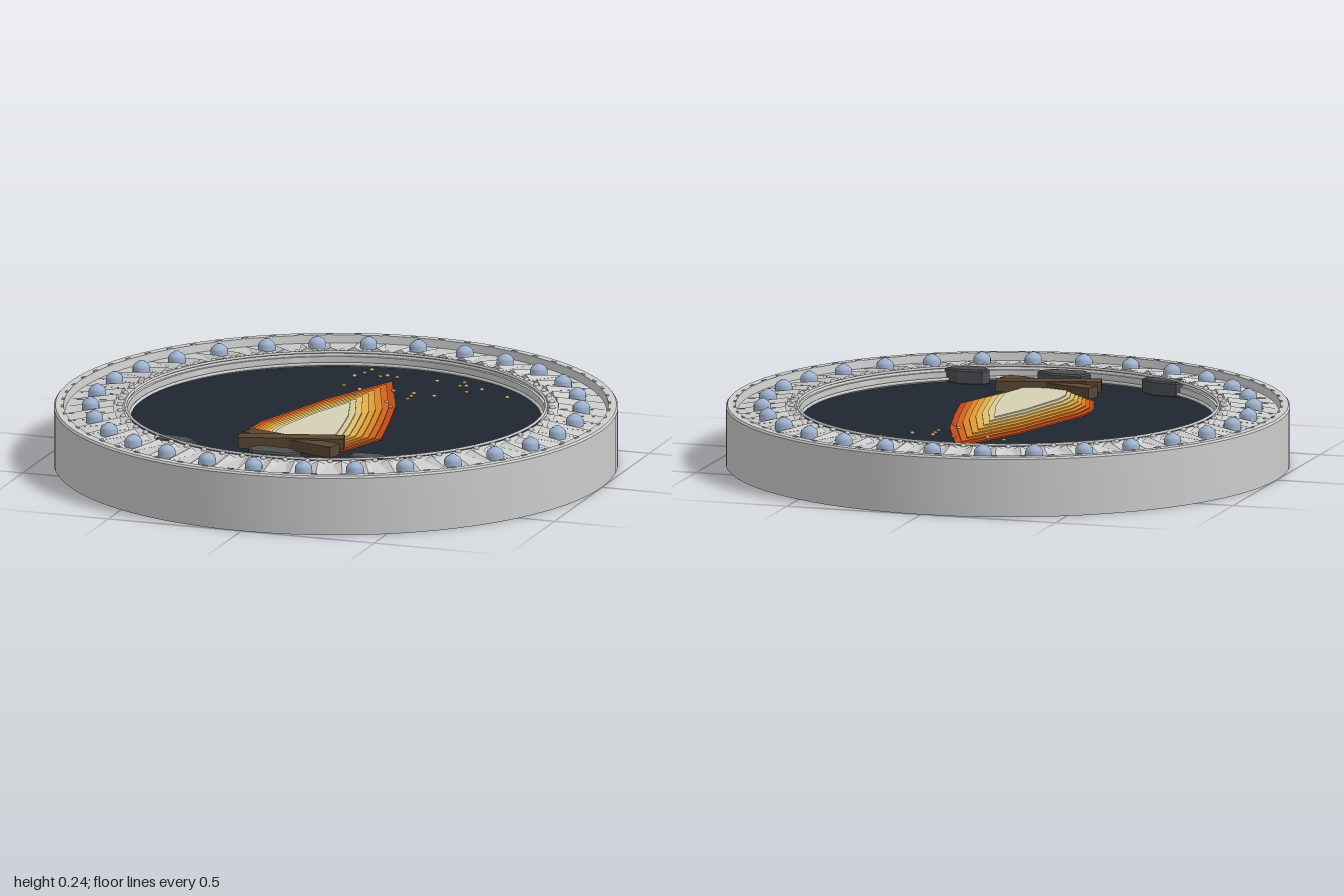
import * as THREE from 'three';
import { toCreasedNormals } from 'three/addons/utils/BufferGeometryUtils.js';

const mat = (color, extra = {}) => new THREE.MeshStandardMaterial({ color, ...extra });

function add(parent, name, geometry, material) {
  const mesh = new THREE.Mesh(geometry, material);
  mesh.name = name;
  parent.add(mesh);
  return mesh;
}

// Flat plate from a plan outline of [x, z] points, standing on height y
function plate(points, y, height, bevel = 0) {
  const shape = new THREE.Shape(points.map(([x, z]) => new THREE.Vector2(x, -z)));
  const geo = new THREE.ExtrudeGeometry(shape, {
    depth: height - bevel, bevelEnabled: bevel > 0, bevelThickness: bevel,
    bevelSize: bevel, bevelOffset: -bevel, bevelSegments: 1,
  });
  geo.rotateX(-Math.PI / 2);
  geo.translate(0, y, 0);
  return geo;
}

// Repeat one geometry around the ring
function around(parent, name, count, radius, y, geo, material, offset = 0) {
  const group = new THREE.Group();
  group.name = name + 's';
  for (let i = 0; i < count; i++) {
    const a = ((i + offset) / count) * Math.PI * 2;
    const mesh = add(group, name, geo, material);
    mesh.position.set(Math.sin(a) * radius, y, Math.cos(a) * radius);
    mesh.rotation.y = a;
  }
  parent.add(group);
}

export function createModel() {
  const root = new THREE.Group();
  root.name = 'campfireMedallion';
  const metal = mat(0xcccccc);

  // Heavy ring with a recessed channel on top
  const profile = [
    [0.74, 0], [1, 0], [1, 0.208], [0.994, 0.215], [0.965, 0.215], [0.96, 0.187],
    [0.79, 0.2], [0.775, 0.208], [0.755, 0.208], [0.75, 0.195], [0.74, 0.195], [0.74, 0],
  ].map(([r, y]) => new THREE.Vector2(r, y));
  add(root, 'ring', toCreasedNormals(new THREE.LatheGeometry(profile, 96), 0.5), metal);

  // Thin inner bead lines
  for (const [r, y, t] of [[0.745, 0.211, 0.005], [0.732, 0.17, 0.006]]) {
    const bead = new THREE.TorusGeometry(r, t, 8, 96);
    bead.rotateX(Math.PI / 2);
    add(root, 'innerBead', bead, metal).position.y = y;
  }

  // Pointed flutes radiating across the channel
  const flute = new THREE.ConeGeometry(0.032, 0.17, 4);
  flute.rotateX(Math.PI / 2);
  flute.scale(1, 0.45, 1);
  flute.rotateX(0.076);
  around(root, 'flute', 60, 0.872, 0.195, flute.toNonIndexed(), mat(0xcccccc, { flatShading: true }), 0.5);

  // Small notches along both lips
  around(root, 'outerNotch', 60, 0.97, 0.215, new THREE.BoxGeometry(0.022, 0.006, 0.008), metal, 0.5);
  around(root, 'innerNotch', 60, 0.767, 0.207, new THREE.SphereGeometry(0.011, 8, 6), metal);

  // Domed studs with a collar and a small cap
  const stud = new THREE.LatheGeometry([
    [0.031, 0], [0.031, 0.022], [0.027, 0.03], [0.02, 0.037], [0.012, 0.041],
    [0.01, 0.044], [0, 0.046],
  ].map(([r, y]) => new THREE.Vector2(r, y)), 20);
  around(root, 'stud', 30, 0.87, 0.191, stud, mat(0x9fb2cf));

  // Dark backing disc
  const disc = add(root, 'backingDisc', new THREE.CylinderGeometry(0.74, 0.74, 0.11, 96), mat(0x202631));
  disc.position.y = 0.105;

  // Flame: stacked layers, each narrower and shorter towards the pale core
  const outline = [
    [0.015, -0.55], [-0.12, -0.25], [-0.18, -0.05], [-0.235, 0.13], [-0.24, 0.25],
    [-0.19, 0.4], [-0.1, 0.44], [0.1, 0.44], [0.18, 0.4], [0.245, 0.21], [0.2, 0], [0.14, -0.24],
  ];
  const colors = [0xc04a1a, 0xd2641e, 0xdc8428, 0xe09c36, 0xe3b04c, 0xe2c070, 0xd9cb98, 0xd6d0b4];
  const flame = new THREE.Group();
  flame.name = 'flame';
  colors.forEach((color, i) => {
    const t = i / (colors.length - 1);
    const width = 1 - 0.55 * t;
    const length = 1 - 0.42 * t;
    const pts = outline.map(([x, z]) => [x * width, 0.44 + (z - 0.44) * length]);
    add(flame, 'flameLayer', plate(pts, 0.155, 0.01 + i * 0.004), mat(color));
  });
  root.add(flame);

  // Crossed logs
  const wood = mat(0x5a4632);
  for (const [side, y] of [[-1, 0.19], [1, 0.196]]) {
    const log = add(root, 'log', new THREE.BoxGeometry(0.375, 0.04, 0.06), wood);
    log.position.set(0, y, 0.47);
    log.rotation.y = side * 0.27;
  }

  // Faceted stones in front of the fire
  const stone = plate([
    [-0.1, -0.005], [-0.075, -0.045], [0.035, -0.045], [0.1, 0], [0.06, 0.045], [-0.07, 0.045],
  ], 0, 0.05, 0.006);
  for (const [x, z, s, turn] of [[0, 0.65, 1, 0], [-0.38, 0.62, 0.85, -0.12], [0.35, 0.615, 0.82, 0.08]]) {
    const mesh = add(root, 'stone', stone, mat(0x4b4d50));
    mesh.position.set(x, 0.162, z);
    mesh.scale.set(s, 1, s);
    mesh.rotation.y = turn;
  }

  // Sparks drifting above the flame
  const sparks = [
    [-0.1, -0.66], [-0.11, -0.61], [-0.13, -0.56], [-0.04, -0.58], [-0.02, -0.6], [0.02, -0.59],
    [0.17, -0.59], [0.27, -0.6], [0.29, -0.56], [0.27, -0.55], [0.36, -0.53], [0.32, -0.48],
    [0.48, -0.46], [-0.12, -0.42], [-0.05, -0.39], [0.07, -0.41], [0.15, -0.4], [0.155, -0.36],
    [0.23, -0.39], [0.155, -0.32], [0.1, -0.255], [0.135, -0.195], [-0.03, -0.3],
  ];
  const sparkGeo = new THREE.SphereGeometry(0.009, 6, 4);
  sparkGeo.scale(1, 0.6, 0.8);
  const sparkMats = [mat(0xe0c890), mat(0xd09a48)];
  sparks.forEach(([x, z], i) => {
    add(root, 'spark', sparkGeo, sparkMats[i % 2]).position.set(x, 0.17, z);
  });

  return root;
}
